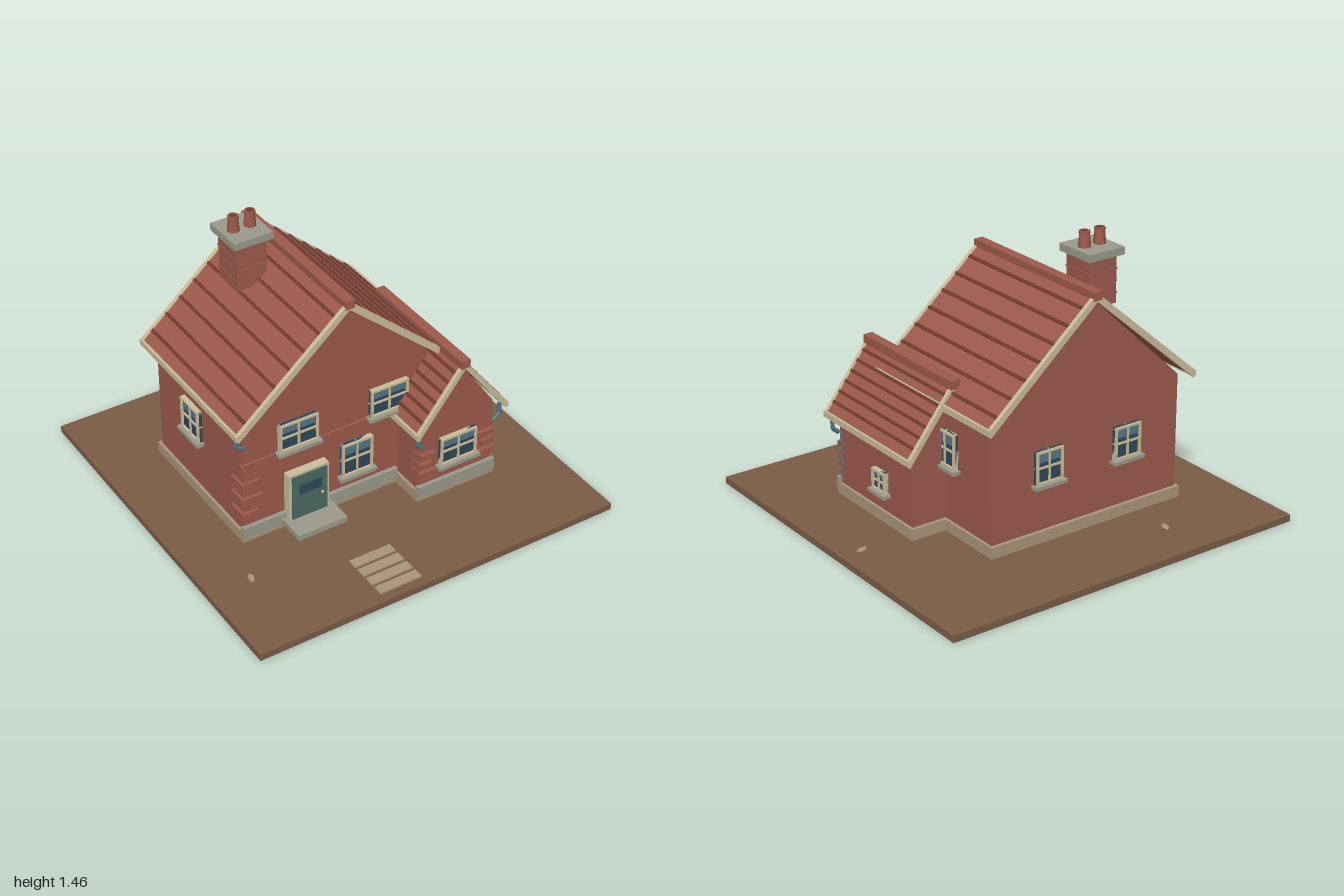
import * as THREE from 'three';

const mat = (name, color, opts = {}) => {
  const m = new THREE.MeshStandardMaterial({ color, ...opts });
  m.name = name;
  return m;
};

export function createModel() {
  const M = {
    brick: mat('brick red', 0x9c594b),
    roof: mat('roof tile red', 0x9d594c),
    dark: mat('dark tile red', 0x70392f),
    earth: mat('earth brown', 0x7a5c45),
    cream: mat('cream trim', 0xcabc9b),
    stone: mat('grey stone', 0x9b998b),
    tan: mat('tan paving', 0xa9957a),
    glass: mat('dark glass', 0x2e4857),
    blue: mat('grey blue', 0x557686),
    door: mat('door green', 0x476a60),
  };
  const model = new THREE.Group();
  model.name = 'brickCottage';

  const add = (parent, name, geo, material) => {
    const m = new THREE.Mesh(geo, material);
    m.name = name;
    parent.add(m);
    return m;
  };
  // Box given by its minimum and maximum along each axis
  const box = (name, material, x0, x1, y0, y1, z0, z1, parent = model) => {
    const m = add(parent, name, new THREE.BoxGeometry(x1 - x0, y1 - y0, z1 - z0), material);
    m.position.set((x0 + x1) / 2, (y0 + y1) / 2, (z0 + z1) / 2);
    return m;
  };
  // Outline in x and y, extruded from z0 to z1
  const prism = (name, material, pts, z0, z1, parent = model) => {
    const shape = new THREE.Shape(pts.map(([x, y]) => new THREE.Vector2(x, y)));
    const geo = new THREE.ExtrudeGeometry(shape, { depth: z1 - z0, bevelEnabled: false });
    const m = add(parent, name, geo, material);
    m.position.z = z0;
    return m;
  };

  // Ground, paving and loose stones
  box('ground', M.earth, -1, 1, 0, 0.036, -1, 1);
  for (let i = 0; i < 4; i++) {
    const z = 0.68 + i * 0.0725;
    box('pavingSlab', M.tan, -0.32, -0.09, 0.036, 0.044, z, z + 0.054);
  }
  for (const [x, z, a] of [[-0.425, -0.74, 1.4], [-0.77, 0.53, 1.3], [0.88, -0.08, 0.1]]) {
    const s = add(model, 'looseStone', new THREE.CylinderGeometry(0.028, 0.034, 0.008, 5), M.tan);
    s.scale.z = 0.5;
    s.rotation.y = a;
    s.position.set(x, 0.039, z);
  }

  // Walls with gables, and plinths
  const walls = (name, x0, x1, eave, apex, z0, z1) =>
    prism(name, M.brick, [[x0, 0.05], [x1, 0.05], [x1, eave], [(x0 + x1) / 2, apex], [x0, eave]], z0, z1);
  walls('mainWalls', -0.665, 0.445, 0.7, 1.225, -0.52, 0.29);
  walls('wingWalls', 0.21, 0.635, 0.49, 0.79, -0.145, 0.48);
  box('mainPlinth', M.tan, -0.68, 0.46, 0.047, 0.105, -0.54, 0.305);
  box('wingPlinth', M.tan, 0.195, 0.65, 0.047, 0.105, -0.165, 0.495);
  box('mainFrontPlinth', M.stone, -0.68, 0.2, 0.072, 0.135, 0.285, 0.312);
  box('wingFrontPlinth', M.stone, 0.197, 0.65, 0.072, 0.135, 0.475, 0.502);
  box('beltCourse', M.brick, -0.68, 0.21, 0.487, 0.505, 0.28, 0.302);

  // Corner bricks
  for (const [y, w] of [[0.37, 0.095], [0.28, 0.115], [0.19, 0.09]]) {
    box('mainQuoin', M.brick, -0.68, -0.68 + w, y, y + 0.027, 0.2, 0.308);
  }
  [0.3, 0.245, 0.19].forEach((y, i) => {
    const w = i === 1 ? 0.07 : 0.09;
    box('wingQuoinRight', M.brick, 0.205, 0.205 + w, y, y + 0.026, 0.42, 0.5);
    box('wingQuoinLeft', M.brick, 0.64 - w, 0.64, y, y + 0.026, 0.42, 0.5);
  });

  // Roof: slab, tile courses, ridge, verge boards and eave boards
  const roof = (name, cx, ridge, half, eave, z0, z1, courses, firstY, stepY) => {
    const g = new THREE.Group();
    g.name = name;
    model.add(g);
    const slope = (ridge - eave) / half;
    const chevron = (up, t) => [
      [cx - half, eave + up], [cx - half, eave + up - t], [cx, ridge + up - t],
      [cx + half, eave + up - t], [cx + half, eave + up], [cx, ridge + up]];
    prism('tiles', M.roof, chevron(0, 0.03), z0 + 0.015, z1 - 0.015, g);
    prism('frontVerge', M.cream, chevron(0.006, 0.042), z1 - 0.022, z1, g);
    prism('backVerge', M.cream, chevron(0.006, 0.042), z0, z0 + 0.022, g);
    for (const s of [-1, 1]) {
      for (let i = 0; i < courses; i++) {
        const y = firstY - i * stepY;
        const c = add(g, 'tileCourse', new THREE.BoxGeometry(0.016, 0.014, z1 - z0 - 0.044), M.dark);
        c.position.set(cx + s * (ridge - y) / slope, y, (z0 + z1) / 2);
        c.rotation.z = -s * Math.atan(slope);
      }
      const x = cx + s * half;
      box('eaveBoard', M.cream, x - 0.01, x + 0.01, eave - 0.028, eave + 0.003, z0, z1, g);
    }
    box('ridge', M.roof, cx - 0.026, cx + 0.026, ridge - 0.03, ridge + 0.014, z0 - 0.002, z1 + 0.002, g);
  };
  roof('mainRoof', -0.11, 1.25, 0.605, 0.725, -0.585, 0.35, 7, 1.19, 0.07);
  roof('wingRoof', 0.428, 0.817, 0.258, 0.485, -0.21, 0.53, 6, 0.762, 0.046);

  // Chimney with brick courses, cap and two pots
  box('chimneyStack', M.brick, -0.378, -0.215, 1.09, 1.34, -0.388, -0.215);
  for (const y of [1.14, 1.2, 1.26]) {
    box('chimneyCourse', M.brick, -0.381, -0.212, y, y + 0.008, -0.391, -0.212);
  }
  box('chimneyCap', M.stone, -0.402, -0.19, 1.336, 1.374, -0.418, -0.192);
  for (const x of [-0.34, -0.25]) {
    const pot = add(model, 'chimneyPot', new THREE.CylinderGeometry(0.024, 0.032, 0.08, 8), M.roof);
    pot.position.set(x, 1.413, -0.305);
    const rim = add(model, 'chimneyPotRim', new THREE.CylinderGeometry(0.028, 0.028, 0.014, 8), M.roof);
    rim.position.set(x, 1.447, -0.305);
    const hole = add(model, 'chimneyPotOpening', new THREE.CylinderGeometry(0.018, 0.018, 0.003, 8), M.dark);
    hole.position.set(x, 1.454, -0.305);
  }

  // Window: glass, sky band, frame, glazing bars and sill; local +z faces outward
  const win = (name, w, h, x, y, z, ry = 0) => {
    const g = new THREE.Group();
    g.name = name;
    g.position.set(x, y, z);
    g.rotation.y = ry;
    model.add(g);
    const a = w / 2, b = h / 2, f = 0.011;
    box('glass', M.glass, -a, a, -b, b, -0.01, 0.016, g);
    box('skyReflection', M.blue, -a + f, a - f, b * 0.3, b * 0.85, 0.015, 0.018, g);
    for (const s of [-1, 1]) {
      box('frameSide', M.cream, s * (a - f / 2) - f / 2, s * (a - f / 2) + f / 2, -b, b, -0.01, 0.028, g);
      box('frameRail', M.cream, -a, a, s * (b - f / 2) - f / 2, s * (b - f / 2) + f / 2, -0.01, 0.027, g);
    }
    box('upright', M.cream, -0.005, 0.005, -b, b, 0, 0.024, g);
    box('crossbar', M.cream, -a, a, -0.006, 0.004, 0, 0.023, g);
    box('sill', M.stone, -a - 0.016, a + 0.016, -b - 0.018, -b, -0.01, 0.042, g);
  };
  win('upperWindowRight', 0.213, 0.155, -0.366, 0.587, 0.29);
  win('upperWindowLeft', 0.213, 0.155, 0.145, 0.587, 0.29);
  win('lowerWindow', 0.175, 0.19, -0.037, 0.308, 0.29);
  win('wingFrontWindow', 0.21, 0.158, 0.427, 0.303, 0.48);
  win('wingSideWindow', 0.11, 0.108, 0.635, 0.258, 0.11, Math.PI / 2);
  win('leftWindow', 0.165, 0.18, 0.445, 0.485, -0.172, Math.PI / 2);
  win('rightWindow', 0.165, 0.18, -0.665, 0.485, -0.172, -Math.PI / 2);
  for (const x of [-0.345, 0.125]) win('backWindow', 0.155, 0.17, x, 0.437, -0.52, Math.PI);

  // Front door and step
  box('doorFrame', M.cream, -0.44, -0.215, 0.1, 0.365, 0.28, 0.335);
  box('door', M.door, -0.424, -0.23, 0.105, 0.354, 0.3, 0.345);
  for (const x of [-0.388, -0.323]) box('doorGlass', M.glass, x, x + 0.058, 0.25, 0.303, 0.344, 0.353);
  const knob = add(model, 'doorKnob', new THREE.SphereGeometry(0.008, 8, 6), M.cream);
  knob.position.set(-0.26, 0.212, 0.35);
  box('doorStep', M.stone, -0.465, -0.19, 0.075, 0.105, 0.29, 0.463);

  // Rainwater pipes
  const pipe = (name, z, pts, r = 0.011) => {
    const path = new THREE.CurvePath();
    const v = pts.map(([x, y]) => new THREE.Vector3(x, y, z));
    for (let i = 1; i < v.length; i++) path.add(new THREE.LineCurve3(v[i - 1], v[i]));
    add(model, name, new THREE.TubeGeometry(path, 16, r, 8, false), M.blue).material = M.blue;
  };
  pipe('mainPipe', 0.3, [[-0.703, 0.71], [-0.703, 0.635], [-0.66, 0.607]]);
  pipe('wingPipeRight', 0.49, [[0.188, 0.47], [0.188, 0.4], [0.222, 0.373]]);
  pipe('wingPipeLeft', 0.49, [[0.672, 0.47], [0.672, 0.4], [0.638, 0.373]]);
  pipe('wingDownpipe', 0.468, [[0.636, 0.38], [0.636, 0.135]], 0.008);

  return model;
}
